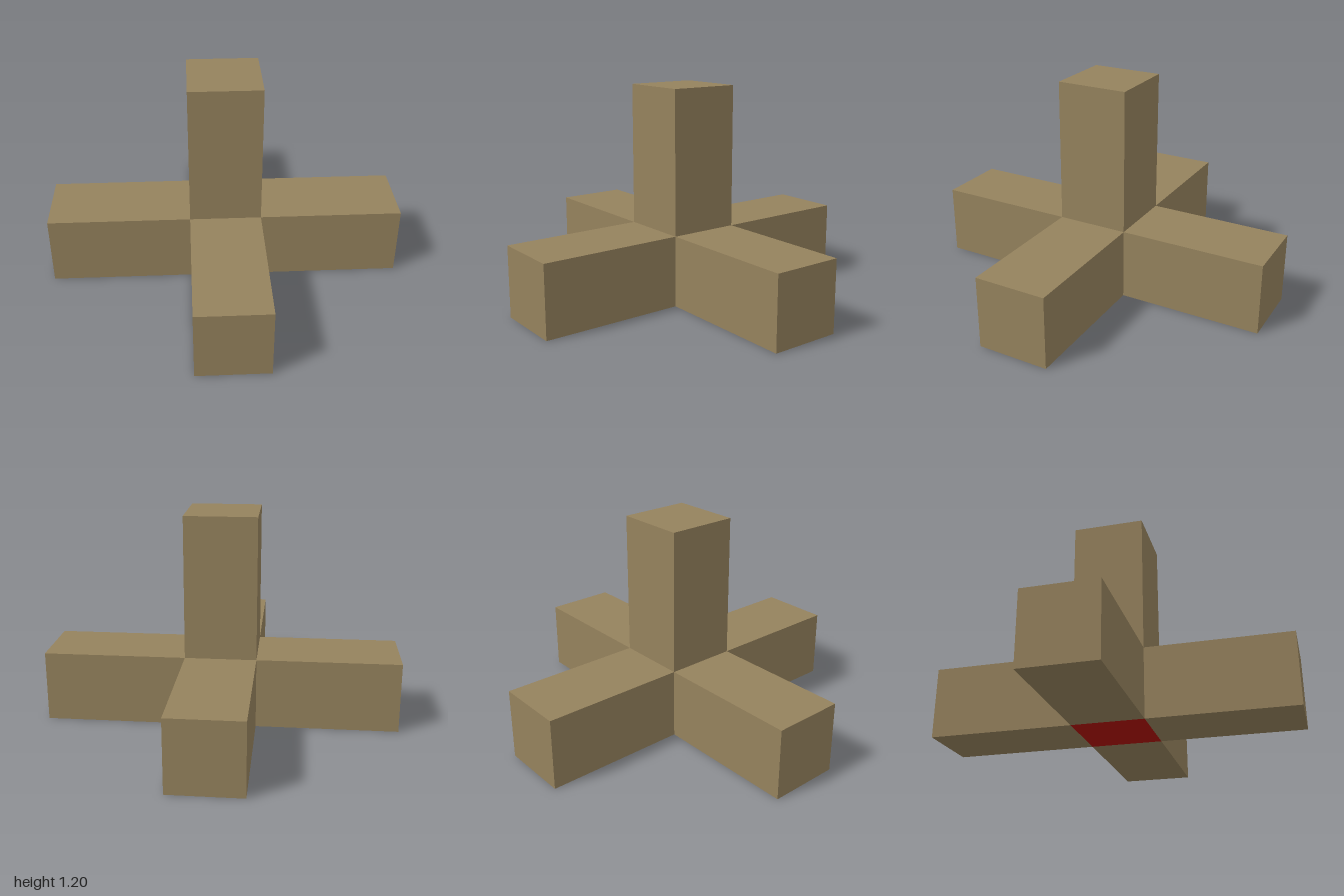
import * as THREE from 'three';

export function createModel() {
  const group = new THREE.Group();
  const brown = new THREE.MeshStandardMaterial({ color: 0x95825d });
  brown.name = 'brown';
  const red = new THREE.MeshStandardMaterial({ color: 0xb21205 });
  red.name = 'red';

  const width = 0.4;
  const length = 0.8;
  const reach = (width + length) / 2; // core centre to arm centre

  // Central block, exposed only underneath
  const core = new THREE.Mesh(new THREE.BoxGeometry(width, width, width), red);
  core.name = 'core';
  core.position.y = width / 2;
  group.add(core);

  // Five equal arms: four sideways and one upright
  const arms = {
    leftArm: [1, 0, 0],
    rightArm: [-1, 0, 0],
    frontArm: [0, 0, 1],
    backArm: [0, 0, -1],
    topArm: [0, 1, 0],
  };
  for (const [name, dir] of Object.entries(arms)) {
    const size = dir.map((d) => (d ? length : width));
    const arm = new THREE.Mesh(new THREE.BoxGeometry(...size), brown);
    arm.name = name;
    arm.position.set(...dir).multiplyScalar(reach).add(core.position);
    group.add(arm);
  }
  return group;
}
